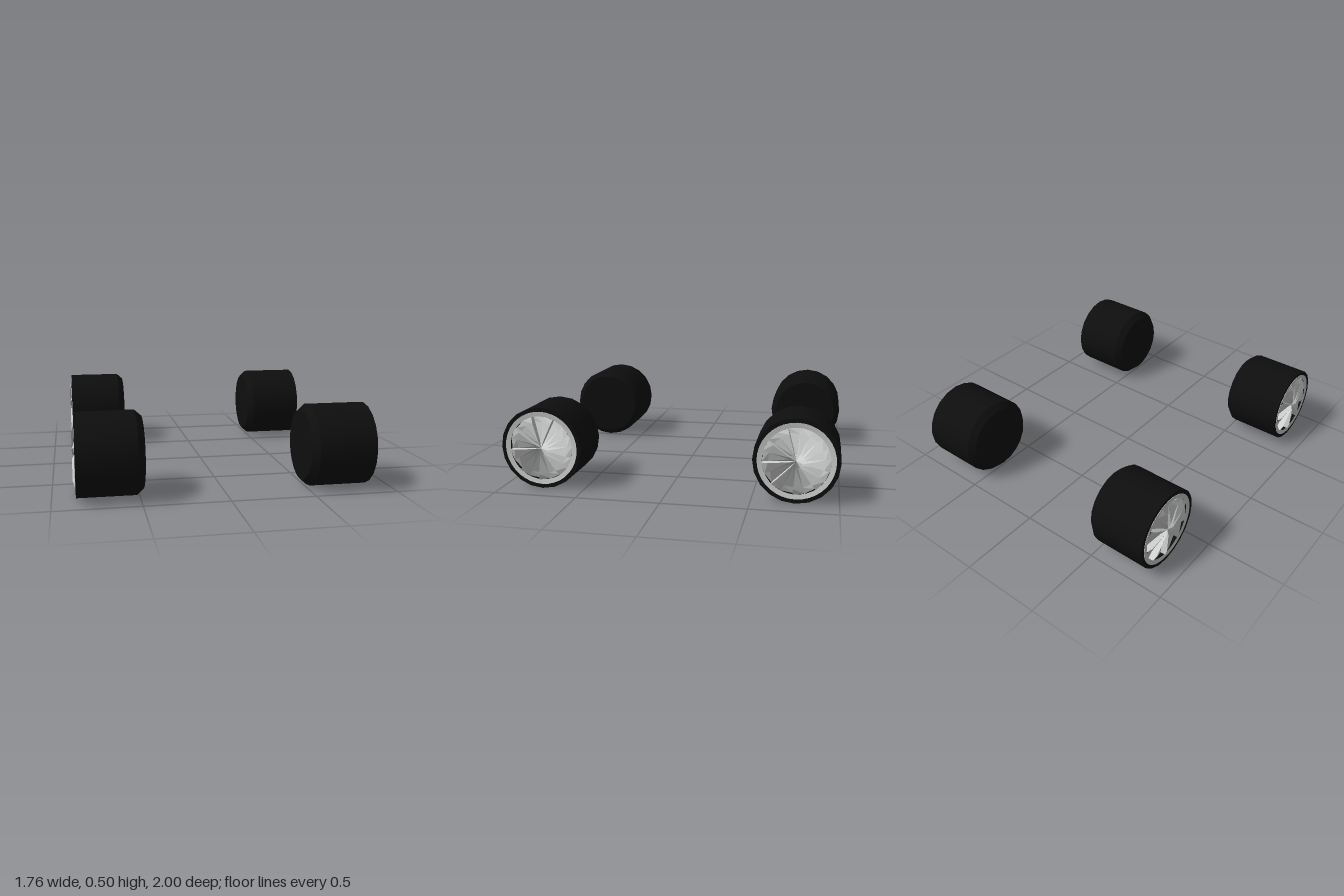
import * as THREE from 'three';
import { toCreasedNormals } from 'three/addons/utils/BufferGeometryUtils.js';

const BLADES = 9;
const FIRST_EDGE = THREE.MathUtils.degToRad(25);

// Revolve [radius, x] points around the x axis
function turned(points, sides) {
  const geo = new THREE.LatheGeometry(points.map(([r, x]) => new THREE.Vector2(r, x)), sides);
  geo.rotateZ(-Math.PI / 2);
  return toCreasedNormals(geo, 0.5);
}

// Turbine disc: each blade falls from a raised leading edge to a sunken trailing edge
function turbineGeometry() {
  // [radius, raised x, sunken x]
  const stations = [
    [0, 0.864, 0.864],
    [0.04, 0.876, 0.848],
    [0.16, 0.878, 0.836],
    [0.195, 0.868, 0.836],
  ];
  const step = (Math.PI * 2) / BLADES;
  const pos = [];
  const point = (i, angle, fall) => {
    const [r, high, low] = stations[i];
    return [high + (low - high) * fall, r * Math.sin(angle), -r * Math.cos(angle)];
  };
  const quad = (a, b, c, d) => pos.push(...a, ...b, ...c, ...a, ...c, ...d);
  for (let k = 0; k < BLADES; k++) {
    const start = FIRST_EDGE + k * step;
    for (let i = 0; i < stations.length - 1; i++) {
      // sloping face in two facets
      for (const f of [0, 0.5]) {
        const a = start + f * step, b = a + step / 2;
        quad(point(i, a, f), point(i + 1, a, f), point(i + 1, b, f + 0.5), point(i, b, f + 0.5));
      }
      // step wall down to the neighbouring blade
      quad(point(i, start, 1), point(i + 1, start, 1), point(i + 1, start, 0), point(i, start, 0));
    }
  }
  const geo = new THREE.BufferGeometry();
  geo.setAttribute('position', new THREE.Float32BufferAttribute(pos, 3));
  geo.computeVertexNormals();
  return geo;
}

export function createModel() {
  const rubber = new THREE.MeshStandardMaterial({ color: 0x0e0e0e });
  rubber.name = 'black rubber';
  const metal = new THREE.MeshStandardMaterial({ color: 0xd0d2d1, side: THREE.DoubleSide });
  metal.name = 'light grey metal';

  // Tyre with chamfered closed inner side and a shallow outer well
  const tyreGeo = turned([
    [0, 0.478], [0.212, 0.478], [0.2475, 0.518], [0.2475, 0.864],
    [0.22, 0.864], [0.22, 0.82], [0, 0.82],
  ], 20);
  // Flat lip around the turbine disc
  const lipGeo = turned([[0.222, 0.85], [0.222, 0.866], [0.193, 0.862]], 36);
  const discGeo = turbineGeometry();

  const model = new THREE.Group();
  model.name = 'wheelSet';
  for (const [end, z] of [['front', 0.7525], ['rear', -0.7525]]) {
    for (const [side, turn] of [['Left', 0], ['Right', Math.PI]]) {
      const wheel = new THREE.Group();
      wheel.name = `${end}${side}Wheel`;
      for (const [name, geo, mat] of [
        ['tyre', tyreGeo, rubber], ['rimLip', lipGeo, metal], ['turbineDisc', discGeo, metal],
      ]) {
        const mesh = new THREE.Mesh(geo, mat);
        mesh.name = name;
        wheel.add(mesh);
      }
      wheel.position.set(0, 0.2475, z);
      wheel.rotation.y = turn;
      model.add(wheel);
    }
  }
  return model;
}
